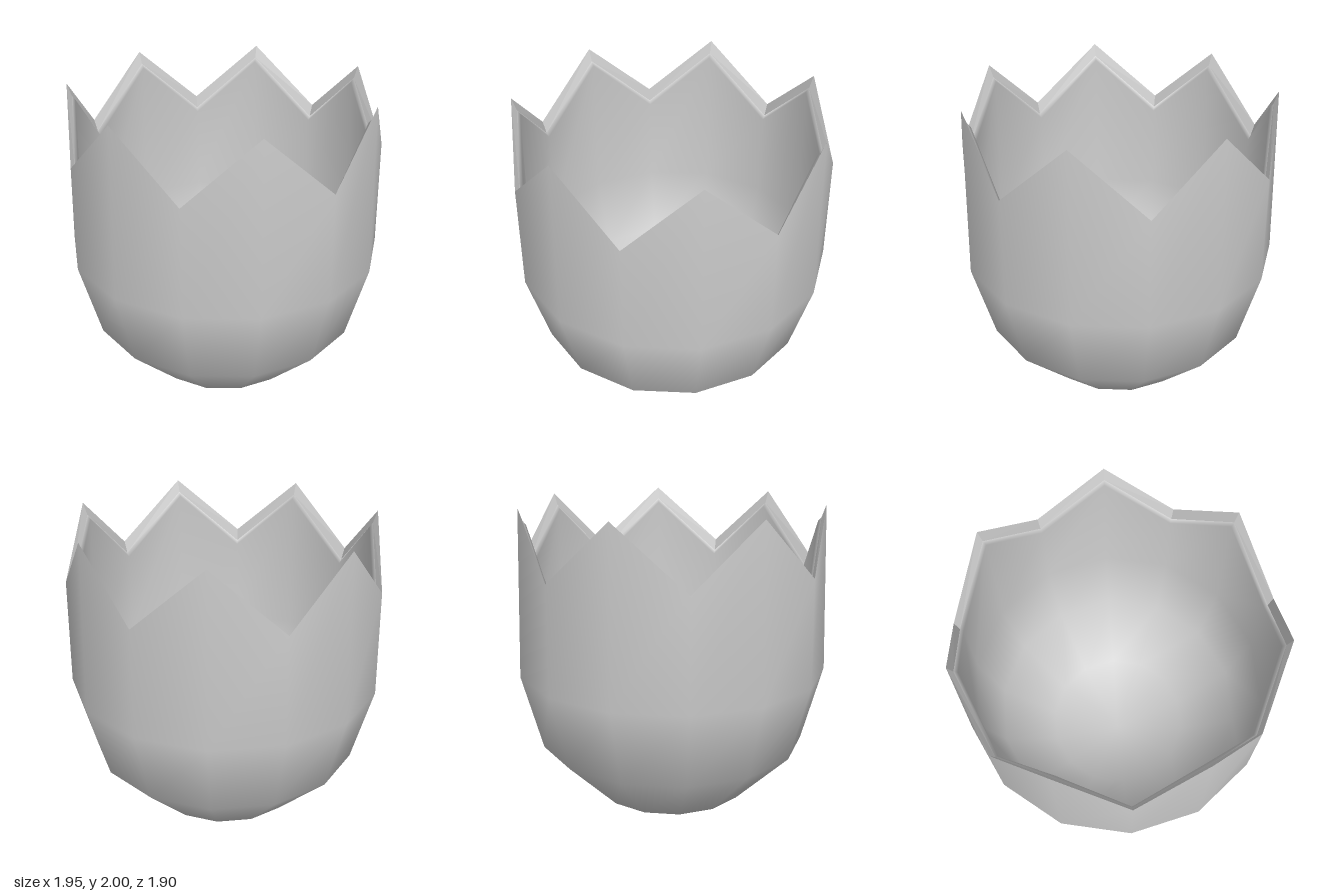
import * as THREE from 'three';
import { mergeVertices } from 'three/addons/utils/BufferGeometryUtils.js';

const SIDES = 14;
const material = new THREE.MeshStandardMaterial({ color: 0xcccccc });

// A ring is given by [radius, height] at its even (peak) and odd (valley) corners
const level = (r, y) => [[r, y], [r, y]];

// Skin the rings in order; the surface faces left of the path (outwards when rising)
function skin(name, rings, flat = false) {
  const positions = [], index = [];
  rings.forEach((ring, row) => {
    for (let k = 0; k < SIDES; k++) {
      const [r, y] = ring[k % 2];
      const a = (k / SIDES) * Math.PI * 2;
      positions.push(r * Math.cos(a), y, r * Math.sin(a));
      if (row === rings.length - 1) continue;
      const p = row * SIDES + k, q = row * SIDES + (k + 1) % SIDES;
      const up = p + SIDES, upNext = q + SIDES;
      if (ring[0][0] > 0) index.push(p, up, q);
      if (rings[row + 1][0][0] > 0) index.push(q, up, upNext);
    }
  });
  let geometry = new THREE.BufferGeometry();
  geometry.setAttribute('position', new THREE.Float32BufferAttribute(positions, 3));
  geometry.setIndex(index);
  geometry = flat ? geometry.toNonIndexed() : mergeVertices(geometry);
  geometry.computeVertexNormals();
  const mesh = new THREE.Mesh(geometry, material);
  mesh.name = name;
  return mesh;
}

export function createModel() {
  const group = new THREE.Group();
  group.name = 'crackedEggshell';

  // Jagged edge: peaks on even corners, valleys on odd ones
  const outerEdge = [[0.935, 2], [0.96, 1.63]];
  const innerEdge = [[0.91, 1.925], [0.937, 1.555]];
  const innerLip = [[0.89, 1.9], [0.92, 1.53]];

  group.add(
    // Outside, from the bottom point up to the jagged edge
    skin('outerShell', [
      level(0, 0), level(0.495, 0.135), level(0.85, 0.495), level(0.975, 0.975), outerEdge,
    ]),
    // Sloping broken edge
    skin('brokenRim', [outerEdge, innerEdge], true),
    // Inside, from the edge down to the bottom
    skin('innerShell', [
      innerEdge, innerLip,
      level(0.93, 0.975), level(0.81, 0.52), level(0.47, 0.175), level(0, 0.045),
    ]),
  );
  return group;
}
